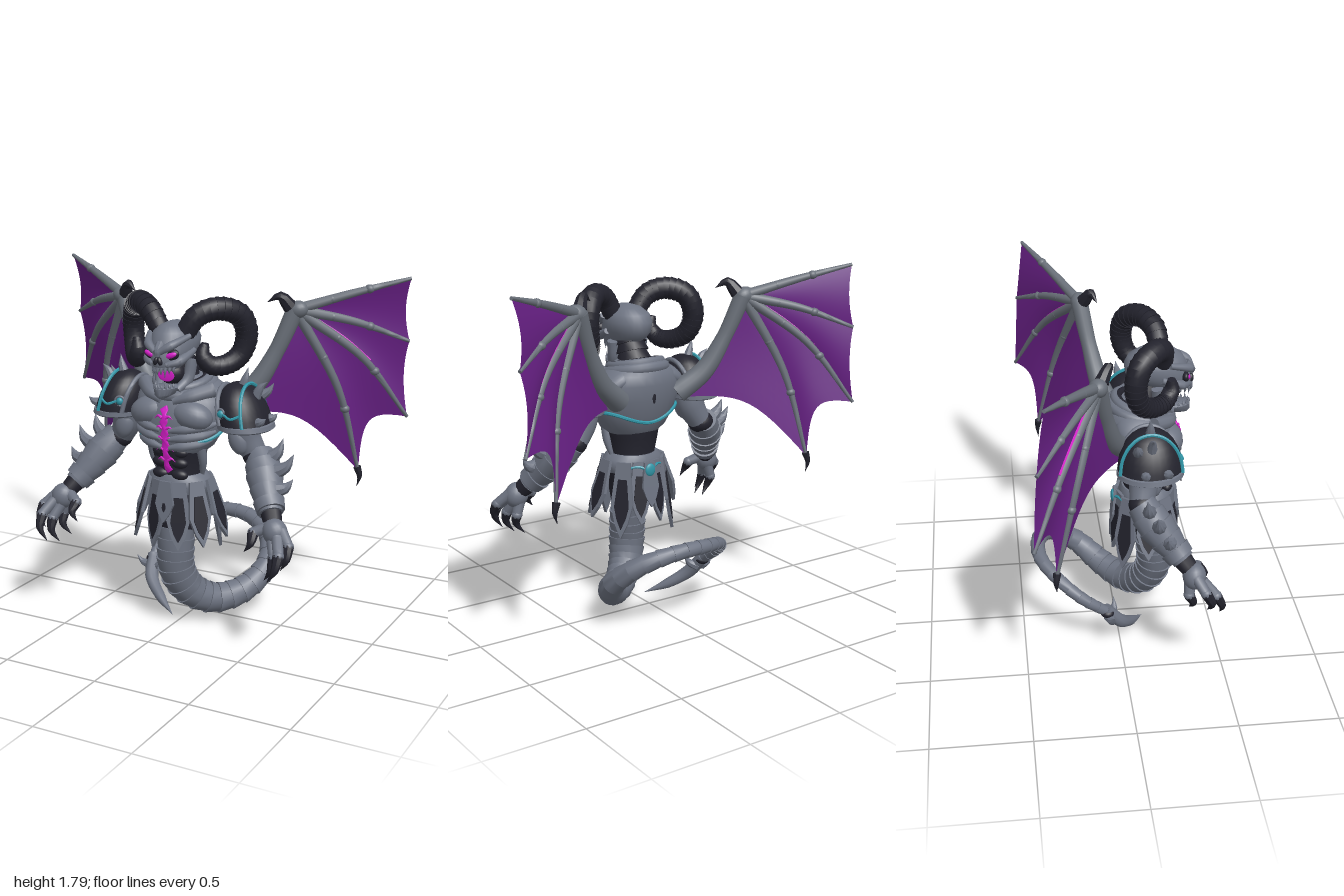
import * as THREE from 'three';
import { toCreasedNormals } from 'three/addons/utils/BufferGeometryUtils.js';

const V = (p) => new THREE.Vector3(...p);
const paint = (name, color, side = THREE.FrontSide) => {
  const m = new THREE.MeshStandardMaterial({ color, side });
  m.name = name;
  return m;
};

// Skin a list of equal-sized rings and close both ends
function loft(rings, crease = 0.7) {
  const n = rings[0].length, pos = [], idx = [];
  const mean = (r) => r.reduce((s, p) => s.add(p), new THREE.Vector3()).divideScalar(n);
  rings.forEach((r) => r.forEach((p) => pos.push(p.x, p.y, p.z)));
  [mean(rings[0]), mean(rings.at(-1))].forEach((p) => pos.push(p.x, p.y, p.z));
  const last = rings.length - 1, c0 = rings.length * n;
  for (let j = 0; j < n; j++) {
    const k = (j + 1) % n;
    for (let i = 0; i < last; i++) {
      const a = i * n + j, b = i * n + k;
      idx.push(a, b, a + n, b, b + n, a + n);
    }
    idx.push(c0, k, j, c0 + 1, last * n + j, last * n + k);
  }
  const g = new THREE.BufferGeometry();
  g.setAttribute('position', new THREE.Float32BufferAttribute(pos, 3));
  g.setIndex(idx);
  return toCreasedNormals(g, crease);
}

// Horizontal elliptical sections, bottom to top: [y, rx, rz, zCentre, xCentre]
const stack = (rows, sides = 28) => loft(rows.map(([y, rx, rz, zc, xc = 0]) =>
  Array.from({ length: sides }, (_, j) => {
    const a = (j / sides) * Math.PI * 2;
    return V([xc + rx * Math.sin(a), y, zc + rz * Math.cos(a)]);
  })));

// Tapered tube; with ribs > 0 it becomes overlapping stepped segments
function tube(points, radii, { sides = 10, segs = 12, ribs = 0, step = 0.12 } = {}) {
  const curve = new THREE.CatmullRomCurve3(points.map(V)), count = ribs || segs, rings = [];
  const N = new THREE.Vector3();
  for (let i = 0; i <= count; i++) {
    const t = i / count, P = curve.getPoint(t), T = curve.getTangent(t);
    if (!i) N.set(0.31, 0.2, 0.93);
    N.addScaledVector(T, -N.dot(T)).normalize();
    const B = T.clone().cross(N), f = t * (radii.length - 1), k = Math.min(Math.floor(f), radii.length - 2);
    const r = Math.max(0.0008, THREE.MathUtils.lerp(radii[k], radii[k + 1], f - k));
    for (const s of ribs ? [1 - step, 1 + step / 3] : [1]) {
      rings.push(Array.from({ length: sides }, (_, j) => {
        const a = (j / sides) * Math.PI * 2;
        return P.clone().addScaledVector(N, Math.cos(a) * r * s).addScaledVector(B, Math.sin(a) * r * s);
      }));
    }
  }
  return loft(rings);
}
const spike = (base, mid, tip, r) => tube([base, mid, tip], [r, r * 0.65, 0], { sides: 8, segs: 6 });
const ball = (c, s, tilt = 0) => new THREE.SphereGeometry(1, 20, 14).scale(...s).rotateZ(tilt).translate(...c);

function mirrored(geo) {
  const g = geo.clone().scale(-1, 1, 1);
  const src = g.index ? Array.from(g.index.array) : Array.from({ length: g.attributes.position.count }, (_, i) => i);
  for (let i = 0; i < src.length; i += 3) [src[i + 1], src[i + 2]] = [src[i + 2], src[i + 1]];
  g.setIndex(src);
  return g;
}

export function createModel() {
  const grey = paint('stone grey', 0x6e7482), bone = paint('wing bone grey', 0x6a7079);
  const dark = paint('charcoal', 0x23232d), purple = paint('membrane purple', 0x672084, THREE.DoubleSide);
  const glow = paint('magenta glow', 0xd81fcb), teal = paint('teal', 0x3195a6);
  const root = new THREE.Group();
  root.name = 'hornedDemon';
  const section = (name) => { const g = new THREE.Group(); g.name = name; root.add(g); return g; };
  const put = (g, name, geo, mat) => {
    const m = new THREE.Mesh(geo, mat);
    m.name = name;
    g.add(m);
  };
  const pair = (g, name, geo, mat) => {
    put(g, name + 'Left', geo, mat);
    put(g, name + 'Right', mirrored(geo), mat);
  };

  // Torso
  const torso = section('torso');
  const rows = [[0.92, 0.13, 0.12, 0.16], [0.96, 0.18, 0.15, 0.16], [1.03, 0.22, 0.17, 0.15], [1.12, 0.245, 0.185, 0.14],
    [1.2, 0.24, 0.175, 0.12], [1.25, 0.205, 0.155, 0.105], [1.285, 0.16, 0.13, 0.1], [1.31, 0.11, 0.1, 0.105]];
  const onBody = (y, a, off = 0) => {
    const k = Math.max(0, rows.findLastIndex((r) => r[0] <= y)), lo = rows[k], hi = rows[k + 1];
    const [, rx, rz, zc] = lo.map((v, i) => THREE.MathUtils.lerp(v, hi[i], (y - lo[0]) / (hi[0] - lo[0])));
    return [(rx + off) * Math.sin(a), y, zc + (rz + off) * Math.cos(a)];
  };
  put(torso, 'chest', stack(rows), grey);
  put(torso, 'abdomen', stack([[0.74, 0.13, 0.12, 0.16], [0.82, 0.12, 0.115, 0.16], [0.9, 0.135, 0.13, 0.16], [0.98, 0.15, 0.145, 0.165]]), dark);
  pair(torso, 'pectoral', ball([0.115, 1.13, 0.25], [0.11, 0.075, 0.08], -0.2), grey);
  pair(torso, 'collarPlate', tube([[0.03, 1.2, 0.29], [0.11, 1.225, 0.255], [0.19, 1.25, 0.17]], [0.02, 0.035, 0.04]), grey);
  pair(torso, 'trapezius', ball([0.15, 1.225, 0.1], [0.12, 0.055, 0.11], -0.55), grey);
  for (const y of [0.965, 1.01, 1.055]) {
    pair(torso, 'rib', tube([0.1, 0.45, 0.9, 1.3].map((a, i) => onBody(y + i * 0.012, a, 0.001)), [0.012, 0.024, 0.022, 0.01]), grey);
  }
  for (const y of [0.82, 0.88, 0.935]) pair(torso, 'abdominalPlate', ball([0.052, y, 0.262], [0.046, 0.028, 0.03]), dark);
  pair(torso, 'flankPlate', tube([[0.135, 0.96, 0.2], [0.14, 0.88, 0.18], [0.125, 0.8, 0.16]], [0.03, 0.022, 0.01]), grey);
  put(torso, 'waistTrim', tube(Array.from({ length: 17 }, (_, i) => onBody(1.03 - 0.03 * Math.cos(i * Math.PI / 4), 0.85 + (i / 16) * 4.58, 0.006)),
    [0.009, 0.009], { segs: 64, sides: 6 }), teal);
  put(torso, 'backSlot', ball([0, 1.14, -0.046], [0.01, 0.035, 0.004]), dark);

  // Glowing jagged crack set into the breastbone
  const crackZ = (y) => (y < 0.97 ? 0.281 + (y - 0.82) * 0.24 : onBody(y, 0, 0.002)[2]);
  put(torso, 'crack', stack(Array.from({ length: 18 }, (_, i) => {
    const y = 0.83 + i * 0.0205, edge = i === 0 || i === 17;
    return [y, edge ? 0.003 : [0.012, 0.024, 0.016][i % 3], 0.006, crackZ(y), 0.006 * Math.sin(i * 1.9)];
  }), 10), glow);
  for (const y of [0.9, 0.955, 1.01, 1.065, 1.12]) {
    const z = crackZ(y);
    pair(torso, 'crackBranch', spike([0.01, y, z], [0.03, y + 0.01, z + 0.002], [0.05, y - 0.006, z], 0.009), glow);
  }

  // Neck and collar
  put(torso, 'neck', tube([[0, 1.22, 0.12], [0, 1.32, 0.15], [0, 1.42, 0.19]], [0.1, 0.085, 0.08], { ribs: 5, sides: 18 }), dark);
  [[0.15, 1.255, 0.03, grey], [0.118, 1.29, 0.02, dark], [0.132, 1.285, 0.024, grey]].forEach(([r, y, t, mat]) =>
    put(torso, 'collar', new THREE.TorusGeometry(r, t, 10, 32).rotateX(Math.PI / 2 + 0.22).translate(0, y, 0.13), mat));

  // Skull, open jaw and teeth
  const head = section('head');
  put(head, 'skull', stack([[1.365, 0.055, 0.095, 0.275], [1.385, 0.075, 0.125, 0.258], [1.415, 0.095, 0.15, 0.232], [1.45, 0.112, 0.16, 0.212],
    [1.5, 0.115, 0.155, 0.2], [1.54, 0.1, 0.135, 0.2], [1.57, 0.065, 0.09, 0.205], [1.583, 0.025, 0.04, 0.21]]), grey);
  put(head, 'crest', tube([[0, 1.49, 0.355], [0, 1.557, 0.28], [0, 1.573, 0.2], [0, 1.54, 0.08]], [0.01, 0.014, 0.014, 0.005]), grey);
  put(head, 'noseBridge', tube([[0, 1.49, 0.35], [0, 1.46, 0.38], [0, 1.435, 0.385]], [0.025, 0.02, 0.012]), grey);
  put(head, 'throat', ball([0, 1.33, 0.235], [0.065, 0.06, 0.06]), dark);
  put(head, 'mouthGlow', ball([0, 1.328, 0.3], [0.046, 0.031, 0.004]), glow);
  put(head, 'jaw', stack([[1.225, 0.02, 0.04, 0.33], [1.24, 0.045, 0.075, 0.305], [1.272, 0.06, 0.1, 0.28], [1.28, 0.05, 0.09, 0.28]]), grey);
  pair(head, 'jawHinge', tube([[0.05, 1.255, 0.28], [0.075, 1.3, 0.22], [0.09, 1.4, 0.2]], [0.02, 0.03, 0.03]), grey);
  pair(head, 'eyeSocket', ball([0.055, 1.44, 0.343], [0.042, 0.028, 0.02], 0.35), dark);
  pair(head, 'eye', ball([0.056, 1.44, 0.354], [0.034, 0.015, 0.014], 0.35), glow);
  pair(head, 'brow', tube([[0.012, 1.458, 0.385], [0.06, 1.488, 0.362], [0.11, 1.525, 0.26]], [0.016, 0.022, 0.014]), grey);
  pair(head, 'cheekbone', tube([[0.035, 1.392, 0.37], [0.085, 1.41, 0.325], [0.112, 1.45, 0.22]], [0.012, 0.024, 0.016]), grey);
  pair(head, 'nostril', ball([0.011, 1.412, 0.38], [0.012, 0.021, 0.014], 0.3), dark);
  for (let i = -4; i <= 4; i++) {
    const a = i * 0.3, x = Math.sin(a), z = Math.cos(a), fang = Math.abs(i) === 2 ? 0.016 : 0;
    put(head, 'upperTooth', spike([0.054 * x, 1.38, 0.28 + 0.1 * z], [0.056 * x, 1.362, 0.285 + 0.1 * z], [0.053 * x, 1.345 - fang, 0.282 + 0.1 * z], 0.011), grey);
    put(head, 'lowerTooth', spike([0.05 * x, 1.268, 0.28 + 0.09 * z], [0.052 * x, 1.285, 0.285 + 0.09 * z], [0.05 * x, 1.297 + fang, 0.282 + 0.09 * z], 0.009), grey);
  }

  // Curled ram horns
  pair(head, 'horn', tube([[0.06, 1.52, 0.23], [0.13, 1.62, 0.215], [0.22, 1.652, 0.16], [0.295, 1.615, 0.09], [0.32, 1.52, 0.065],
    [0.3, 1.425, 0.09], [0.255, 1.38, 0.155], [0.205, 1.385, 0.225], [0.18, 1.435, 0.258], [0.19, 1.495, 0.255]],
  [0.05, 0.056, 0.058, 0.058, 0.056, 0.053, 0.05, 0.046, 0.04, 0.02], { ribs: 34, sides: 16, step: 0.06 }), dark);

  // Shoulder armour
  const arms = section('arms');
  const dome = Array.from({ length: 9 }, (_, i) => {
    const s = Math.sin((i / 8) * Math.PI / 2), c = Math.max(0.01, Math.cos((i / 8) * Math.PI / 2)) ** 0.85;
    return [1.09 + 0.205 * s, 0.13 * c, 0.16 * c, 0.135, 0.35 - 0.04 * s];
  });
  pair(arms, 'pauldron', stack(dome), dark);
  pair(arms, 'pauldronRim', stack([[1.07, 0.125, 0.15, 0.135, 0.358], [1.078, 0.138, 0.165, 0.135, 0.356], [1.1, 0.135, 0.163, 0.135, 0.353], [1.106, 0.12, 0.15, 0.135, 0.35]]), grey);
  const arc = (x, h, d) => Array.from({ length: 9 }, (_, i) => {
    const a = (i / 8) * Math.PI;
    return [x - 0.04 * Math.sin(a), 1.1 + h * Math.sin(a), 0.135 + d * Math.cos(a)];
  });
  pair(arms, 'pauldronTrim', tube(arc(0.405, 0.192, 0.152), [0.009, 0.009], { segs: 24, sides: 6 }), teal);
  pair(arms, 'pauldronBand', tube(arc(0.275, 0.175, 0.135), [0.012, 0.012], { segs: 24 }), grey);
  pair(arms, 'gemLink', tube([[0.3, 1.16, 0.277], [0.345, 1.145, 0.293], [0.385, 1.16, 0.277]], [0.007, 0.007], { sides: 6 }), teal);
  pair(arms, 'shoulderGem', ball([0.285, 1.16, 0.272], [0.019, 0.019, 0.014]), teal);
  pair(arms, 'gemRing', new THREE.TorusGeometry(0.024, 0.006, 8, 20).rotateY(-0.3).translate(0.285, 1.16, 0.27), grey);
  [[[0.4, 1.22, 0.135], [0.43, 1.28, 0.135], [0.465, 1.31, 0.135]], [[0.4, 1.22, 0.07], [0.44, 1.25, 0.06], [0.465, 1.29, 0.055]],
    [[0.44, 1.12, 0.2], [0.475, 1.13, 0.215], [0.5, 1.15, 0.22]], [[0.45, 1.12, 0.1], [0.485, 1.13, 0.1], [0.505, 1.15, 0.1]],
    [[0.335, 1.27, 0.135], [0.35, 1.32, 0.135], [0.36, 1.37, 0.13]]]
    .forEach((s) => pair(arms, 'shoulderSpike', spike(...s, 0.028), grey));

  // Arms and forearm guards
  pair(arms, 'upperArm', tube([[0.32, 1.15, 0.13], [0.335, 1.03, 0.11], [0.385, 0.93, 0.09]], [0.085, 0.078, 0.06], { sides: 18 }), grey);
  pair(arms, 'bicepPlate', ball([0.325, 1.01, 0.16], [0.05, 0.075, 0.04], 0.3), grey);
  pair(arms, 'elbow', ball([0.395, 0.925, 0.095], [0.07, 0.06, 0.07]), dark);
  pair(arms, 'forearm', tube([[0.405, 0.935, 0.085], [0.455, 0.865, 0.135], [0.51, 0.775, 0.21], [0.56, 0.7, 0.275]],
    [0.07, 0.096, 0.08, 0.058], { ribs: 5, sides: 18, step: 0.06 }), grey);
  pair(arms, 'cuff', tube([[0.53, 0.745, 0.235], [0.555, 0.71, 0.265]], [0.078, 0.07], { sides: 18, segs: 2 }), grey);
  pair(arms, 'wrist', tube([[0.55, 0.715, 0.26], [0.585, 0.66, 0.305]], [0.056, 0.045]), dark);
  [[[0.47, 0.92, 0.12], [0.52, 0.965, 0.11], [0.54, 1.03, 0.1]], [[0.51, 0.87, 0.16], [0.58, 0.905, 0.15], [0.615, 0.97, 0.14]],
    [[0.54, 0.8, 0.21], [0.6, 0.815, 0.2], [0.635, 0.86, 0.19]]]
    .forEach((s) => pair(arms, 'forearmSpike', spike(...s, 0.042), grey));

  // Clawed hands: base, knuckle, claw tip
  pair(arms, 'palm', ball([0.605, 0.63, 0.325], [0.062, 0.068, 0.058], 0.4), grey);
  [[[0.64, 0.64, 0.33], [0.695, 0.585, 0.37], [0.67, 0.47, 0.4]], [[0.635, 0.615, 0.36], [0.67, 0.55, 0.425], [0.625, 0.42, 0.455]],
    [[0.605, 0.59, 0.35], [0.63, 0.525, 0.39], [0.585, 0.405, 0.4]], [[0.6, 0.6, 0.305], [0.62, 0.53, 0.3], [0.57, 0.42, 0.31]],
    [[0.57, 0.65, 0.32], [0.505, 0.62, 0.355], [0.475, 0.53, 0.395]]].forEach(([a, k, t]) => {
    pair(arms, 'finger', tube([a, k], [0.031, 0.026], { segs: 4 }), grey);
    pair(arms, 'knuckle', ball(k, [0.028, 0.026, 0.028]), grey);
    const mid = k.map((v, i) => (v + t[i]) / 2 + [0.018, 0, 0.018][i]);
    pair(arms, 'claw', spike(k, mid, t, 0.029), dark);
  });

  // Hips and pointed skirt plates
  const skirt = section('skirt');
  put(skirt, 'pelvis', stack([[0.52, 0.095, 0.095, 0.19], [0.6, 0.115, 0.11, 0.18], [0.78, 0.13, 0.12, 0.16]]), dark);
  put(skirt, 'belt', stack([[0.72, 0.155, 0.13, 0.16], [0.755, 0.17, 0.14, 0.16], [0.79, 0.16, 0.135, 0.16], [0.815, 0.13, 0.125, 0.16]]), grey);
  const leaf = (w, h, k, depth) => {
    const s = new THREE.Shape([[-0.3, 0], [0.3, 0], [0.5, -0.55], [0.3, -0.8], [0, -1], [-0.3, -0.8], [-0.5, -0.55]]
      .map(([x, y]) => new THREE.Vector2(x * w * k, (y + 0.65) * h * k - 0.65 * h)));
    return new THREE.ExtrudeGeometry(s, { depth, bevelEnabled: false });
  };
  [[0.42, 0.35, 0.12, -0.1], [1.0, 0.33, 0.12, -0.24], [1.6, 0.31, 0.12, -0.32], [2.25, 0.4, 0.12, -0.14], [2.8, 0.33, 0.11, -0.12]]
    .forEach(([a, h, w, tilt]) => {
      const place = (g, out) => g.translate(0, 0, out).rotateX(tilt).translate(0, 0, 0.13 + 0.025 * Math.sin(a) ** 2).rotateY(a).translate(0, 0.785, 0.155);
      pair(skirt, 'skirtPlate', place(leaf(w, h, 1, 0.016), 0), grey);
      pair(skirt, 'skirtInlay', place(leaf(w, h, 0.66, 0.006), 0.014), dark);
    });
  put(skirt, 'frontPlate', leaf(0.1, 0.21, 1, 0.02).rotateX(-0.1).translate(0, 0.79, 0.3), grey);
  put(skirt, 'frontOrnament', leaf(0.1, 0.21, 0.22, 0.005).rotateX(-0.1).translate(0, 0.788, 0.317), dark);
  put(skirt, 'backPlate', leaf(0.1, 0.24, 1, 0.016).rotateX(-0.1).rotateY(Math.PI).translate(0, 0.785, 0.01), grey);
  put(skirt, 'backGem', ball([0, 0.745, -0.01], [0.03, 0.034, 0.012]), teal);
  pair(skirt, 'backGemTrim', tube([[0.02, 0.75, -0.006], [0.06, 0.765, 0.015], [0.1, 0.755, 0.038]], [0.008, 0.006], { sides: 6 }), teal);

  // Segmented tail with a hooked blade
  const tail = section('tail');
  put(tail, 'tailSegments', tube([[0, 0.58, 0.19], [0, 0.43, 0.21], [0.005, 0.3, 0.21], [0.05, 0.18, 0.16], [0.15, 0.115, 0.07], [0.265, 0.145, -0.05],
    [0.335, 0.25, -0.18], [0.27, 0.37, -0.32], [0.1, 0.43, -0.4], [-0.08, 0.43, -0.4], [-0.22, 0.39, -0.32], [-0.3, 0.31, -0.2], [-0.295, 0.22, -0.08]],
  [0.09, 0.098, 0.096, 0.09, 0.08, 0.07, 0.06, 0.05, 0.04, 0.037, 0.034, 0.032, 0.028], { ribs: 32, sides: 18, step: 0.07 }), grey);
  put(tail, 'tailBlade', tube([[-0.295, 0.23, -0.08], [-0.265, 0.13, 0.0], [-0.17, 0.055, 0.07], [-0.06, 0.002, 0.14]], [0.034, 0.036, 0.027, 0], { segs: 16 }), grey);
  put(tail, 'bladeCollar', ball([-0.295, 0.21, -0.07], [0.038, 0.025, 0.038]), dark);
  put(tail, 'tailBarb', spike([-0.295, 0.18, -0.06], [-0.345, 0.185, -0.05], [-0.378, 0.225, -0.04], 0.03), grey);
  put(tail, 'tailBarb', spike([-0.28, 0.17, -0.05], [-0.235, 0.195, -0.03], [-0.215, 0.25, -0.03], 0.028), grey);

  // Wings: bones fan from the wrist, membranes sag between them
  const wings = section('wings');
  const wrist = [0.49, 1.625, -0.13];
  const fan = [[[0.75, 1.71, -0.27], [0.985, 1.778, -0.4]], [[0.75, 1.56, -0.29], [0.975, 1.46, -0.44]], [[0.78, 1.38, -0.31], [0.972, 1.067, -0.463]],
    [[0.68, 1.22, -0.25], [0.76, 0.78, -0.355]], [[0.41, 1.4, -0.085], [0.25, 1.1, 0.0]]].map((p) => [wrist, ...p]);
  const curves = fan.map((p) => new THREE.CatmullRomCurve3(p.map(V)));
  const sag = [0.05, 0.05, 0.17, 0.18];
  for (let i = 0; i < 4; i++) {
    const n = 12, pos = [], idx = [];
    for (let r = 0; r <= n; r++) for (let c = 0; c <= n; c++) {
      const t = r / n, s = c / n, dip = 4 * s * (1 - s);
      const p = curves[i].getPoint(t).lerp(curves[i + 1].getPoint(t), s).lerp(V(wrist), sag[i] * dip * t);
      p.z -= 0.016 * dip * t;
      pos.push(p.x, p.y, p.z);
      if (r < n && c < n) {
        const a = r * (n + 1) + c, b = a + n + 1;
        idx.push(a, b, a + 1, b, b + 1, a + 1);
      }
    }
    const g = new THREE.BufferGeometry();
    g.setAttribute('position', new THREE.Float32BufferAttribute(pos, 3));
    g.setIndex(idx);
    g.computeVertexNormals();
    pair(wings, 'membrane', g, purple);
    pair(wings, 'wingFinger', tube(fan[i], [0.028, 0.02, 0.009], { segs: 16 }), bone);
    for (const t of [0.3, 0.62]) pair(wings, 'wingKnuckle', ball(curves[i].getPoint(t).toArray(), [0.025, 0.022, 0.023]), bone);
  }
  pair(wings, 'fingerGlow', tube([0.15, 0.35, 0.55].map((t) => curves[2].getPoint(t).add(V([0.01, 0.016, -0.006])).toArray()), [0.007, 0.006], { sides: 6 }), glow);
  pair(wings, 'wingArm', tube([[0.18, 1.13, 0.01], [0.31, 1.24, -0.045], [0.41, 1.42, -0.09], wrist], [0.06, 0.052, 0.04, 0.045], { segs: 20, sides: 14 }), bone);
  pair(wings, 'wingWrist', ball([0.5, 1.625, -0.13], [0.055, 0.045, 0.045], 0.3), bone);
  pair(wings, 'wingThumb', spike([0.47, 1.64, -0.11], [0.43, 1.695, -0.075], [0.375, 1.665, -0.05], 0.037), dark);
  pair(wings, 'wingClaw', spike([0.755, 0.8, -0.352], [0.768, 0.75, -0.358], [0.755, 0.695, -0.355], 0.02), dark);
  return root;
}
